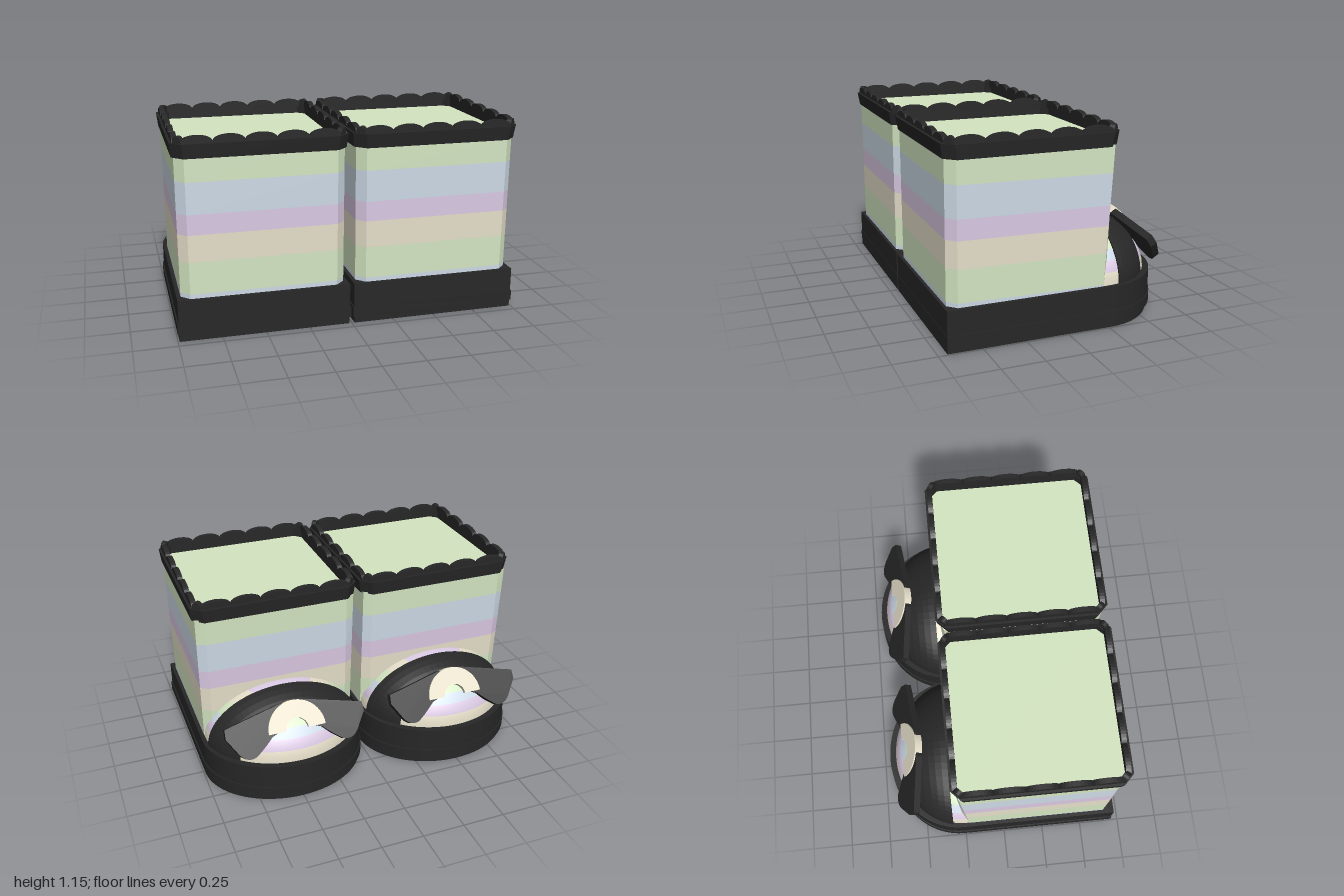
import * as THREE from 'three';

const mat = (name, color) => {
  const m = new THREE.MeshStandardMaterial({ color });
  m.name = name;
  return m;
};

// Surface through rows of points; band i (between rows i and i+1) uses material bands[i]
function loft(rows, bands, closed, flat) {
  const n = rows[0].length, idx = [], groups = [];
  for (let i = 0; i < rows.length - 1; i++) {
    const start = idx.length;
    for (let j = 0; j < (closed ? n : n - 1); j++) {
      const k = (j + 1) % n;
      const a = i * n + j, b = i * n + k, c = (i + 1) * n + k, d = (i + 1) * n + j;
      idx.push(a, b, c, a, c, d);
    }
    groups.push([start, idx.length - start, bands[i] ?? 0]);
  }
  let g = new THREE.BufferGeometry();
  g.setAttribute('position', new THREE.Float32BufferAttribute(rows.flat(2), 3));
  g.setIndex(idx);
  if (flat) g = g.toNonIndexed();
  g.computeVertexNormals();
  groups.forEach((q) => g.addGroup(...q));
  return g;
}

// Rectangle with cut corners, from z = zf (heel) to z = zb (toe side)
const octagon = (h, zf, zb, c, y, cb = c) => [
  [-h + c, y, zf], [h - c, y, zf], [h, y, zf - c], [h, y, zb + cb],
  [h - c, y, zb], [-h + c, y, zb], [-h, y, zb + cb], [-h, y, zf - c],
];

// Slab with a square heel and rounded toe
function soleSlab(half, heel, toe, y0, y1) {
  const s = new THREE.Shape();
  s.moveTo(-half, -heel);
  s.lineTo(half, -heel);
  s.lineTo(half, 0.26);
  s.absellipse(0, 0.26, half, toe - 0.26, 0, Math.PI, false);
  s.lineTo(-half, -heel);
  const g = new THREE.ExtrudeGeometry(s, { depth: y1 - y0, bevelEnabled: false, curveSegments: 32 });
  return g.rotateX(-Math.PI / 2).translate(0, y0, 0);
}

export function createModel() {
  const black = mat('charcoal', 0x272727);
  const green = mat('pale green', 0xd4e6c2);
  const blue = mat('pale blue', 0xcddae6);
  const mauve = mat('pale mauve', 0xdac9e3);
  const beige = mat('pale beige', 0xe6dfca);
  const stripes = [green, blue, mauve, beige];
  const G = 0, B = 1, M = 2, E = 3;

  function makeShoe() {
    const shoe = new THREE.Group();
    const add = (name, geo, material, parent = shoe) => {
      const m = new THREE.Mesh(geo, material);
      m.name = name;
      parent.add(m);
      return m;
    };

    // Platform sole with a welt
    add('soleBottom', soleSlab(0.488, 0.698, 0.677, 0, 0.04), black);
    add('welt', soleSlab(0.497, 0.7, 0.702, 0.04, 0.1), black);
    add('soleTop', soleSlab(0.49, 0.698, 0.696, 0.1, 0.24), black);

    // Striped box shaft, stripes dipping slightly toward the toe
    const levels = [0.24, 0.265, 0.33, 0.45, 0.605, 0.72, 0.9, 1.04];
    const shaftRows = levels.map((y, i) => {
      const zb = y < 0.33 ? -0.222 - (y - 0.24) * 0.42 : -0.26 - (y - 0.33) * 0.036;
      const corner = -0.22 - (y - 0.24) * 0.055;
      const dip = i === 0 || i === 7 ? 0 : 0.018;
      return octagon(0.467 + (y - 0.24) * 0.005, 0.68, zb, 0.05, y, corner - zb)
        .map(([x, yy, z]) => [x, yy - dip * (0.68 - z), z]);
    });
    add('shaft', loft(shaftRows, [B, G, G, E, M, B, G], true, true), stripes);

    // Flared rim, hollow inside
    const rimRows = [
      octagon(0.455, 0.665, -0.27, 0.04, 1.03),
      octagon(0.482, 0.688, -0.298, 0.06, 1.03),
      octagon(0.491, 0.7, -0.308, 0.06, 1.11),
      octagon(0.45, 0.66, -0.275, 0.04, 1.11),
      octagon(0.45, 0.66, -0.275, 0.04, 1.04),
    ];
    add('rim', loft(rimRows, [], true, true), black);

    // Lid panel, recessed within the rim
    const lid = new THREE.Shape(octagon(0.453, 0.663, -0.278, 0.04, 0)
      .map(([x, , z]) => new THREE.Vector2(x, -z)));
    add('lid', new THREE.ShapeGeometry(lid).rotateX(-Math.PI / 2).translate(0, 1.06, 0), green);

    // Scalloped edging on all four sides and across the cut corners
    const scallop = (len) => {
      const s = new THREE.Shape();
      s.moveTo(-len / 2, -0.02);
      s.lineTo(len / 2, -0.02);
      s.lineTo(len / 2, -0.005);
      s.bezierCurveTo(len * 0.42, 0.042, -len * 0.42, 0.042, -len / 2, -0.005);
      s.closePath();
      return new THREE.ExtrudeGeometry(s, { depth: 0.03, bevelEnabled: false, curveSegments: 12 })
        .translate(0, 0, -0.015);
    };
    const endScallop = scallop(0.178), sideScallop = scallop(0.183), cornerScallop = scallop(0.06);
    for (let i = -2; i <= 2; i++) {
      for (const z of [0.669, -0.28]) {
        add('scallop', endScallop, black).position.set(i * 0.175, 1.12, z);
      }
      for (const x of [-0.462, 0.462]) {
        const m = add('scallop', sideScallop, black);
        m.position.set(x, 1.12, 0.196 + i * 0.18);
        m.rotation.y = Math.PI / 2;
      }
    }
    for (const x of [-1, 1]) {
      for (const z of [-1, 1]) {
        const m = add('cornerScallop', cornerScallop, black);
        m.position.set(x * 0.445, 1.12, 0.196 + z * 0.459);
        m.rotation.y = x * z * Math.PI / 4;
      }
    }

    // Striped toe, a rounded quarter dome with a short straight run into the shaft
    const z0 = -0.24, W = 0.465, D = 0.405, H = 0.32;
    const toeY = [0.24, 0.275, 0.31, 0.34, 0.37, 0.42, 0.45, 0.48, 0.505, 0.53, 0.545, 0.555, 0.56];
    const toeRows = toeY.map((y) => {
      const r = Math.sqrt(Math.max(0, 1 - ((y - 0.24) / H) ** 2));
      const arc = Array.from({ length: 33 }, (_, j) => {
        const a = (j / 32) * Math.PI;
        return [W * r * Math.cos(a), y, z0 - 0.418 * r ** 1.15 * Math.sin(a)];
      });
      return [[W * r, y, -0.2], ...arc, [-W * r, y, -0.2]];
    });
    add('toe', loft(toeRows, [E, E, M, M, B, G, G, E, E, M, M, M], false, false), stripes);

    // Wide strap arching over the toe
    const strapZ = [-0.322, -0.322, -0.36, -0.4, -0.44, -0.48, -0.51, -0.535, -0.535];
    const strapRows = strapZ.map((z, i) => {
      const k = Math.sqrt(1 - ((z - z0) / D) ** 2), off = i === 0 || i === 8 ? -0.01 : 0.012;
      return Array.from({ length: 33 }, (_, j) => {
        const a = (j / 32) * Math.PI;
        return [-(W * k + off) * Math.cos(a), 0.235 + (H * k + off) * Math.sin(a), z];
      });
    });
    add('strap', loft(strapRows, [], false, true), black);

    // Tilted bow with an arched knot
    const bow = new THREE.Group();
    bow.name = 'bow';
    bow.rotation.set(0.57, Math.PI, 0);
    bow.position.set(0, 0.295, -0.622);
    shoe.add(bow);
    const extrude = (s, depth) => new THREE.ExtrudeGeometry(s, { depth, bevelEnabled: false, curveSegments: 20 });

    const wings = new THREE.Shape();
    wings.moveTo(0.1, 0.12);
    wings.lineTo(0.15, 0.1);
    wings.quadraticCurveTo(0.2, 0.05, 0.26, 0.008);
    wings.quadraticCurveTo(0.32, -0.015, 0.36, 0.05);
    wings.lineTo(0.415, 0.14);
    wings.lineTo(0.412, 0.195);
    wings.lineTo(0.08, 0.275);
    wings.lineTo(-0.08, 0.275);
    wings.lineTo(-0.412, 0.195);
    wings.lineTo(-0.415, 0.14);
    wings.lineTo(-0.36, 0.05);
    wings.quadraticCurveTo(-0.32, -0.015, -0.26, 0.008);
    wings.quadraticCurveTo(-0.2, 0.05, -0.15, 0.1);
    wings.lineTo(-0.1, 0.12);
    wings.absarc(0, 0.12, 0.1, Math.PI, 0, true);
    add('bowWings', extrude(wings, 0.042), black, bow);

    const arch = new THREE.Shape();
    arch.absarc(0, 0.115, 0.17, 0, Math.PI, false);
    arch.lineTo(-0.067, 0.115);
    arch.absarc(0, 0.115, 0.067, Math.PI, 0, true);
    add('bowArch', extrude(arch, 0.05), beige, bow);

    return shoe;
  }

  // A matching pair
  const model = new THREE.Group();
  model.name = 'shoes';
  for (const [name, x] of [['leftShoe', 0.503], ['rightShoe', -0.503]]) {
    const shoe = makeShoe();
    shoe.name = name;
    shoe.position.x = x;
    model.add(shoe);
  }
  return model;
}
